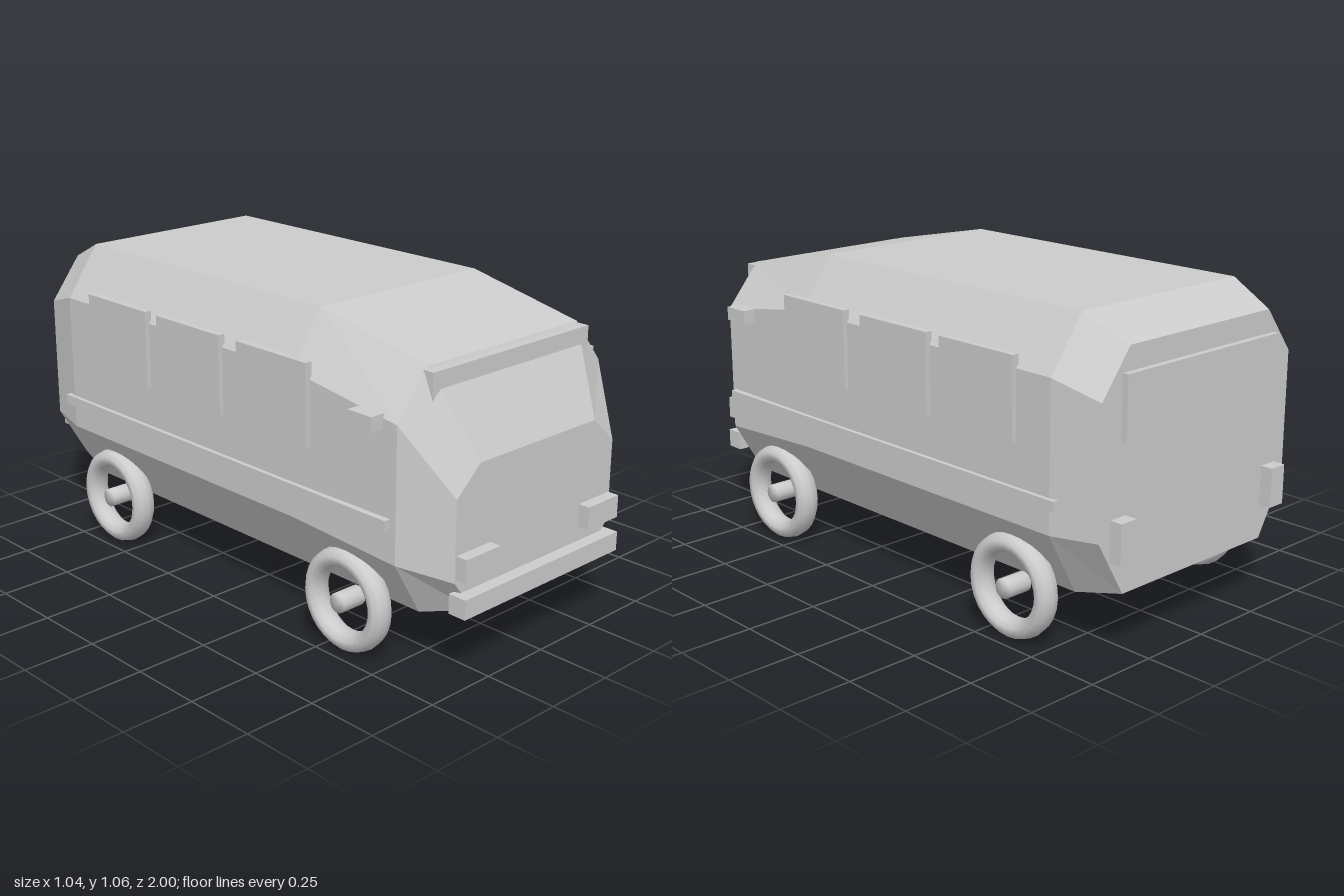
import * as THREE from 'three';
import { mergeVertices } from 'three/addons/utils/BufferGeometryUtils.js';

// Faceted hull: octagonal rings joined from front to back
function hullGeometry() {
  // z, floor half-width, floor y, sill y, side half-width, shoulder y, roof half-width, roof y
  const stations = [
    [0.957, 0.28, 0.22, 0.335, 0.37, 0.6, 0.27, 0.69],
    [0.81, 0.36, 0.188, 0.374, 0.47, 0.815, 0.345, 0.967],
    [0.37, 0.36, 0.188, 0.4, 0.478, 0.882, 0.352, 1.057],
    [-0.795, 0.36, 0.188, 0.4, 0.478, 0.882, 0.352, 1.057],
    [-0.957, 0.33, 0.223, 0.408, 0.438, 0.832, 0.323, 0.982],
  ];
  const rings = stations.map(([z, fw, fy, sillY, sw, shY, rw, ry]) => {
    const half = [[fw, fy], [sw, sillY], [sw, shY], [rw, ry]];
    const mirrored = half.map(([x, y]) => [-x, y]).reverse();
    return [...half, ...mirrored].map(([x, y]) => [x, y, z]);
  });
  const pos = [];
  const tri = (a, b, c) => pos.push(...a, ...b, ...c);
  for (let i = 0; i < rings.length - 1; i++) {
    for (let j = 0; j < 8; j++) {
      const k = (j + 1) % 8;
      const a = rings[i][j], b = rings[i][k], c = rings[i + 1][k], d = rings[i + 1][j];
      tri(a, d, b);
      tri(b, d, c);
    }
  }
  // Nose and tail panels
  const nose = rings[0], tail = rings[rings.length - 1];
  for (let j = 1; j < 7; j++) {
    tri(nose[0], nose[j], nose[j + 1]);
    tri(tail[0], tail[j + 1], tail[j]);
  }
  const g = new THREE.BufferGeometry();
  g.setAttribute('position', new THREE.Float32BufferAttribute(pos, 3));
  g.computeVertexNormals();
  return g;
}

export function createModel() {
  const van = new THREE.Group();
  van.name = 'van';
  const grey = new THREE.MeshStandardMaterial({ color: 0xcccccc });
  grey.name = 'light grey';

  const add = (name, geometry, parent = van) => {
    const mesh = new THREE.Mesh(geometry, grey);
    mesh.name = name;
    parent.add(mesh);
    return mesh;
  };
  // Box given by its limits on each axis
  const box = (name, x0, x1, y0, y1, z0, z1) =>
    add(name, new THREE.BoxGeometry(x1 - x0, y1 - y0, z1 - z0))
      .position.set((x0 + x1) / 2, (y0 + y1) / 2, (z0 + z1) / 2);
  // The same box on both sides
  const pair = (name, x0, x1, ...rest) => {
    box(name + 'Left', x0, x1, ...rest);
    box(name + 'Right', -x1, -x0, ...rest);
  };

  add('body', hullGeometry());

  // Front and rear fittings
  box('sunVisor', -0.36, 0.36, 0.865, 0.957, 0.805, 0.845);
  box('frontBumper', -0.368, 0.368, 0.23, 0.295, 0.935, 1);
  box('rearWindow', -0.352, 0.352, 0.7, 0.905, -0.977, -0.945);
  pair('headlight', 0.213, 0.365, 0.346, 0.422, 0.935, 0.997);
  pair('tailLight', 0.325, 0.39, 0.338, 0.47, -1, -0.945);

  // Side fittings
  [0.29, -0.115, -0.495].forEach((z, i) =>
    pair('sideWindow' + (i + 1), 0.468, 0.493, 0.657, 0.925, z - 0.16, z + 0.16));
  pair('sideTrim', 0.468, 0.493, 0.485, 0.518, -0.825, 0.788);
  pair('mirror', 0.465, 0.518, 0.79, 0.837, 0.655, 0.753);

  // Wheels: a wide tyre ring around a stubby hub
  const tyreGeometry = new THREE.TorusGeometry(0.14, 0.032, 10, 28);
  tyreGeometry.scale(1, 1, 1.35);
  tyreGeometry.rotateY(Math.PI / 2);
  let hubGeometry = new THREE.CylinderGeometry(0.033, 0.033, 0.09, 14);
  hubGeometry.rotateZ(Math.PI / 2);
  // Welded so the shading runs smoothly over the rim
  hubGeometry.deleteAttribute('normal');
  hubGeometry.deleteAttribute('uv');
  hubGeometry = mergeVertices(hubGeometry);
  hubGeometry.computeVertexNormals();

  for (const [end, z] of [['front', 0.577], ['rear', -0.606]]) {
    for (const [side, s] of [['Left', 1], ['Right', -1]]) {
      const wheel = new THREE.Group();
      wheel.name = end + 'Wheel' + side;
      wheel.position.set(s * 0.435, 0.174, z);
      add('tyre', tyreGeometry, wheel);
      add('hub', hubGeometry, wheel);
      van.add(wheel);
    }
  }
  return van;
}
